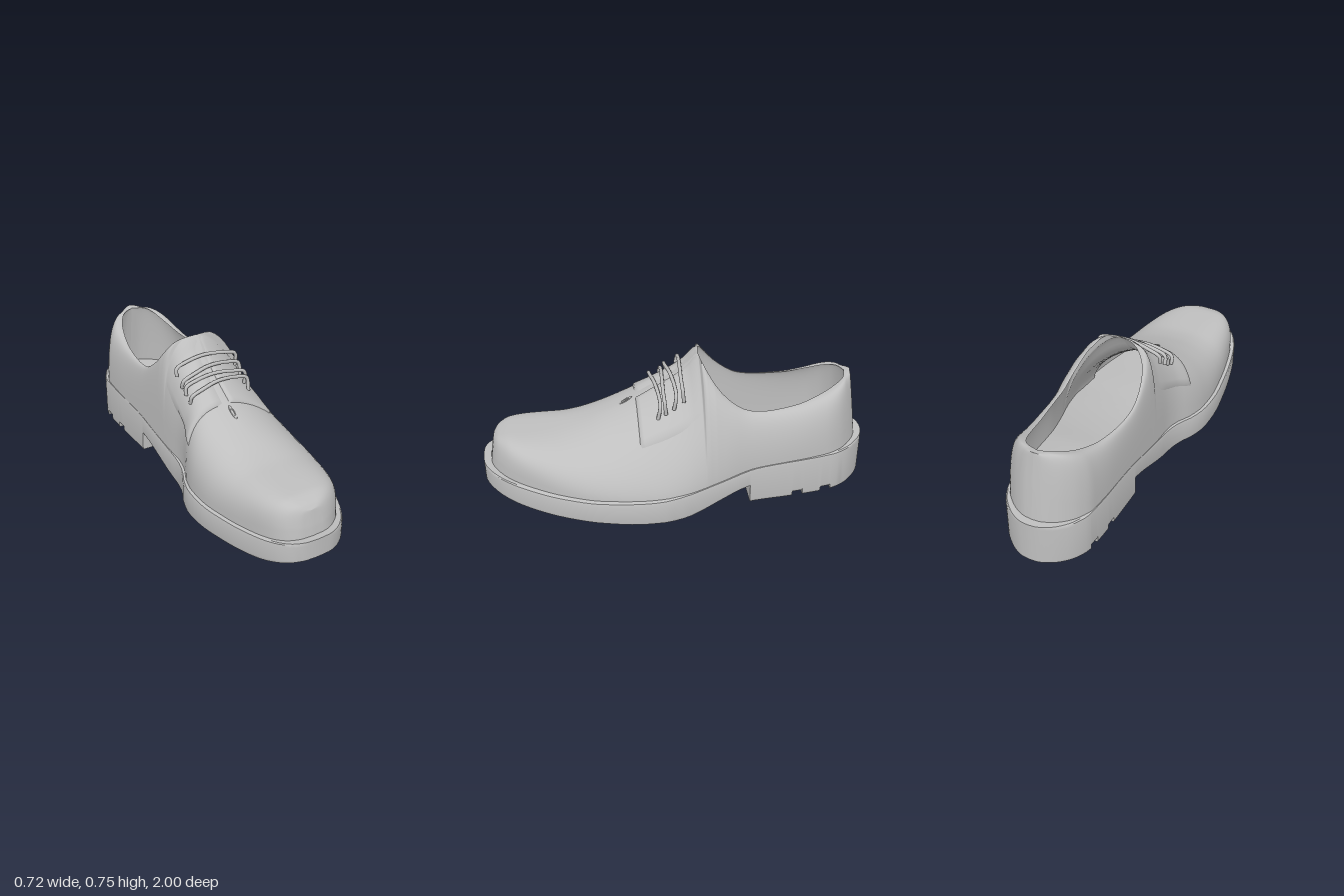
import * as THREE from 'three';
import { mergeVertices, toCreasedNormals } from 'three/addons/utils/BufferGeometryUtils.js';

// Smooth lookup through [z, value, ...] pairs without overshoot
function curve(...p) {
  const k = [];
  for (let i = 0; i < p.length; i += 2) k.push([p[i], p[i + 1]]);
  k.sort((a, b) => a[0] - b[0]);
  const d = k.slice(1).map((q, i) => (q[1] - k[i][1]) / (q[0] - k[i][0]));
  const m = k.map((q, i) => {
    if (i === 0) return d[0];
    if (i === k.length - 1) return d[i - 1];
    return d[i - 1] * d[i] <= 0 ? 0 : 2 * d[i - 1] * d[i] / (d[i - 1] + d[i]);
  });
  return z => {
    if (z <= k[0][0]) return k[0][1];
    if (z >= k[k.length - 1][0]) return k[k.length - 1][1];
    let i = 0;
    while (z > k[i + 1][0]) i++;
    const h = k[i + 1][0] - k[i][0], t = (z - k[i][0]) / h, t2 = t * t, t3 = t2 * t;
    return (2 * t3 - 3 * t2 + 1) * k[i][1] + (t3 - 2 * t2 + t) * h * m[i]
      + (3 * t2 - 2 * t3) * k[i + 1][1] + (t3 - t2) * h * m[i + 1];
  };
}

// Plan outline of the sole, right (-x) and left (+x) edges
const edgeA = curve(1, -.09, .997, -.14, .985, -.18, .96, -.222, .9, -.265, .8, -.3, .6, -.34, .4, -.36, .3, -.355,
  .2, -.33, .1, -.285, 0, -.265, -.2, -.26, -.6, -.26, -.8, -.25, -.88, -.22, -.95, -.16, -.985, -.1, -.997, -.065, -1, -.03);
const edgeB = curve(1, -.09, .997, -.03, .985, .015, .96, .06, .9, .125, .8, .19, .6, .28, .4, .335, .2, .358, .1, .36,
  0, .345, -.2, .29, -.4, .245, -.6, .23, -.8, .2, -.88, .165, -.95, .1, -.985, .045, -.997, .008, -1, -.03);
const soleTop = curve(1, .2, .8, .17, .6, .15, .4, .14, .2, .14, 0, .155, -.2, .185, -.4, .225, -.6, .24, -1, .25);
// Underside with the heel step and two grooves
const soleBottom = curve(1, .1, .8, .05, .6, .025, .4, .01, .2, .001, 0, .008, -.1, .03, -.2, .065, -.3, .1, -.36, .113,
  -.362, .01, -.59, .012, -.592, .038, -.645, .038, -.647, .012, -.745, .012, -.747, .038, -.8, .038, -.802, .014, -1, .022);

// Ridge line of the upper, which becomes the collar edge behind the tongue
const ridge = curve(.962, .32, .94, .345, .87, .364, .8, .366, .6, .37, .5, .387, .4, .42, .3, .46, .2, .51, .1, .57,
  0, .635, -.06, .69, -.12, .755, -.16, .7, -.2, .64, -.24, .595, -.3, .545, -.36, .515, -.45, .505,
  -.6, .515, -.75, .55, -.9, .6, -.962, .615);
const collarA = curve(.96, -.09, .5, -.08, 0, -.065, -.12, -.05, -.13, -.12, -.16, -.18, -.2, -.21, -.3, -.225,
  -.4, -.22, -.6, -.195, -.8, -.15, -.88, -.11, -.91, -.08, -.93, -.03);
const collarB = curve(.96, -.09, .5, -.08, 0, -.065, -.12, -.05, -.13, .02, -.16, .07, -.2, .11, -.3, .14,
  -.4, .145, -.6, .125, -.8, .085, -.88, .055, -.91, .03, -.93, -.03);
// Roundness of each side: small is boxy, large is sloping
const roundA = curve(.96, .45, .8, .55, .4, .8, .1, .65, -.2, .65, -.7, .75, -.962, .4);
const roundB = curve(.96, .45, .8, .55, .6, .8, .3, 1.2, 0, 1.38, -.15, 1.35, -.3, 1.1, -.7, .85, -.962, .4);

const smooth = THREE.MathUtils.smoothstep;

// Point on the upper: a runs from the welt (0) to the ridge or collar (PI/2)
function upperPoint(z, right, a, zScale = 1.04, inset = .94, drop = 0) {
  const mid = (edgeA(z * zScale) + edgeB(z * zScale)) / 2;
  const snug = inset + .04 * (1 - smooth(z, -.15, .15));
  const outer = mid + ((right ? edgeA : edgeB)(z * zScale) - mid) * snug;
  const top = (right ? collarA : collarB)(z), e = (right ? roundA : roundB)(z);
  const c = Math.pow(Math.max(0, Math.cos(a)), e), s = Math.pow(Math.max(0, Math.sin(a)), e);
  const base = soleTop(z) - .01;
  const y = base + (ridge(z) - drop - base) * s;
  // Heel and toe walls lean inward
  const heelLean = .05 * Math.min(1, Math.max(0, (y - .25) / .36)) * (1 - smooth(z, -.95, -.5));
  const toeLean = .03 * Math.max(0, (y - .2) / .15) * smooth(z, .75, .95);
  return new THREE.Vector3(top + (outer - top) * c, y, z + heelLean - toeLean);
}

// Point lifted off the upper along its normal
function raisedPoint(z, right, a, lift) {
  const p = upperPoint(z, right, a), h = .004;
  const dz = upperPoint(z + h, right, a).sub(upperPoint(z - h, right, a));
  const da = upperPoint(z, right, a + h).sub(upperPoint(z, right, a - h));
  return p.addScaledVector(dz.cross(da).normalize(), right ? lift : -lift);
}

// Skin a grid of cross-sections; gap is a column to leave unjoined
function skin(rows, gap = -1) {
  const n = rows[0].length, index = [];
  for (let i = 0; i < rows.length - 1; i++) for (let j = 0; j < n - 1; j++) {
    if (j === gap) continue;
    const a = i * n + j, b = a + n;
    index.push(a, b, a + 1, b, b + 1, a + 1);
  }
  const g = new THREE.BufferGeometry().setFromPoints(rows.flat());
  g.setIndex(index);
  return g;
}

// Stations crowded toward both ends, plus extra ones
function stations(from, to, n, extra) {
  const z = [...extra];
  for (let i = 0; i <= n; i++) z.push((from + to) / 2 - (to - from) / 2 * Math.cos(Math.PI * i / n));
  return z.sort((a, b) => a - b);
}

function upperShell(from, to, zScale, inset, dropAt) {
  const N = 16;
  const zs = stations(from, to, 80, [-.12, -.123, -.127, -.13, -.14, -.15, -.16, -.18]);
  const rows = zs.map(z => {
    const row = [];
    for (const right of [true, false]) for (let j = 0; j <= N; j++) {
      const a = Math.PI / 2 * (right ? j : N - j) / N;
      row.push(upperPoint(z, right, a, zScale, inset, dropAt(z)));
    }
    return row;
  });
  const g = mergeVertices(skin(rows, N), 1e-5);
  g.computeVertexNormals();
  return g;
}

function soleGeometry() {
  const zs = stations(-1, 1, 70, [-.36, -.362, -.59, -.592, -.645, -.647, -.745, -.747, -.8, -.802]);
  const rows = zs.map(z => {
    const a = edgeA(z), b = edgeB(z), m = (a + b) / 2, w = (b - a) / 2, lo = soleBottom(z), hi = soleTop(z);
    const half = [[.98, lo], [.995, lo + .005], [1, lo + .014], [1, hi - .02], [.985, hi - .005], [.95, hi]];
    const pt = (s, q) => new THREE.Vector3(m + s * q[0] * w, q[1], z);
    const loop = [...half.map(q => pt(-1, q)), ...[...half].reverse().map(q => pt(1, q))];
    return [...loop, loop[0].clone()];
  });
  return toCreasedNormals(skin(rows), .6);
}

// Facing overlay, with its borders tucked back onto the upper
function facingGeometry(right) {
  const rows = [], low = right ? .4 : .75, high = right ? 1.55 : 1.5, M = 20, N = 14;
  for (let i = 0; i <= M; i++) {
    const z = -.11 + .315 * i / M, row = [];
    for (let j = 0; j <= N; j++) {
      const t = (right ? j : N - j) / N;
      const edge = i === M || t === 0 || t === 1;
      const lift = edge ? -.003 : .011 * smooth(z, -.11, .04);
      row.push(raisedPoint(Math.min(z, .2), right, low + (high - low) * t, lift));
    }
    rows.push(row);
  }
  const g = skin(rows);
  g.computeVertexNormals();
  return g;
}

export function createModel() {
  const model = new THREE.Group();
  model.name = 'shoe';
  const grey = new THREE.MeshStandardMaterial({ color: 0xbfbfbf, side: THREE.DoubleSide });
  grey.name = 'plain grey';
  const add = (name, geometry) => {
    const mesh = new THREE.Mesh(geometry, grey);
    mesh.name = name;
    model.add(mesh);
    return mesh;
  };

  add('soleAndHeel', soleGeometry());
  add('upper', upperShell(-1 / 1.04, 1 / 1.04, 1.04, .94, () => 0));
  add('lining', upperShell(-1 / 1.07, .25, 1.07, .88, z => .025 * smooth(z, -.12, -.04)));
  add('rightFacing', facingGeometry(true));
  add('leftFacing', facingGeometry(false));

  // Laces arched across the tongue, ends sunk into the facings
  [-.03, .02, .06, .1].forEach((z, i) => {
    const y = ridge(z) + .016, tilt = i % 2 ? .012 : -.006;
    const path = [[-.225, -.075, 0], [-.222, -.035, tilt], [-.16, -.01, tilt], [-.065, .006, 0],
      [.05, -.008, -tilt], [.115, -.03, -tilt], [.12, -.1, 0]]
      .map(([x, dy, dz]) => new THREE.Vector3(x, y + dy, z + dz));
    add('lace' + (i + 1), new THREE.TubeGeometry(new THREE.CatmullRomCurve3(path), 36, .0095, 8));
  });

  // Small stitched loop at the bottom of the lacing slit
  const loop = add('throatLoop', new THREE.TorusGeometry(.009, .003, 8, 20));
  loop.position.set(-.071, ridge(.25) + .002, .25);
  loop.rotation.x = -1.05;
  loop.scale.y = 3.5;
  return model;
}
